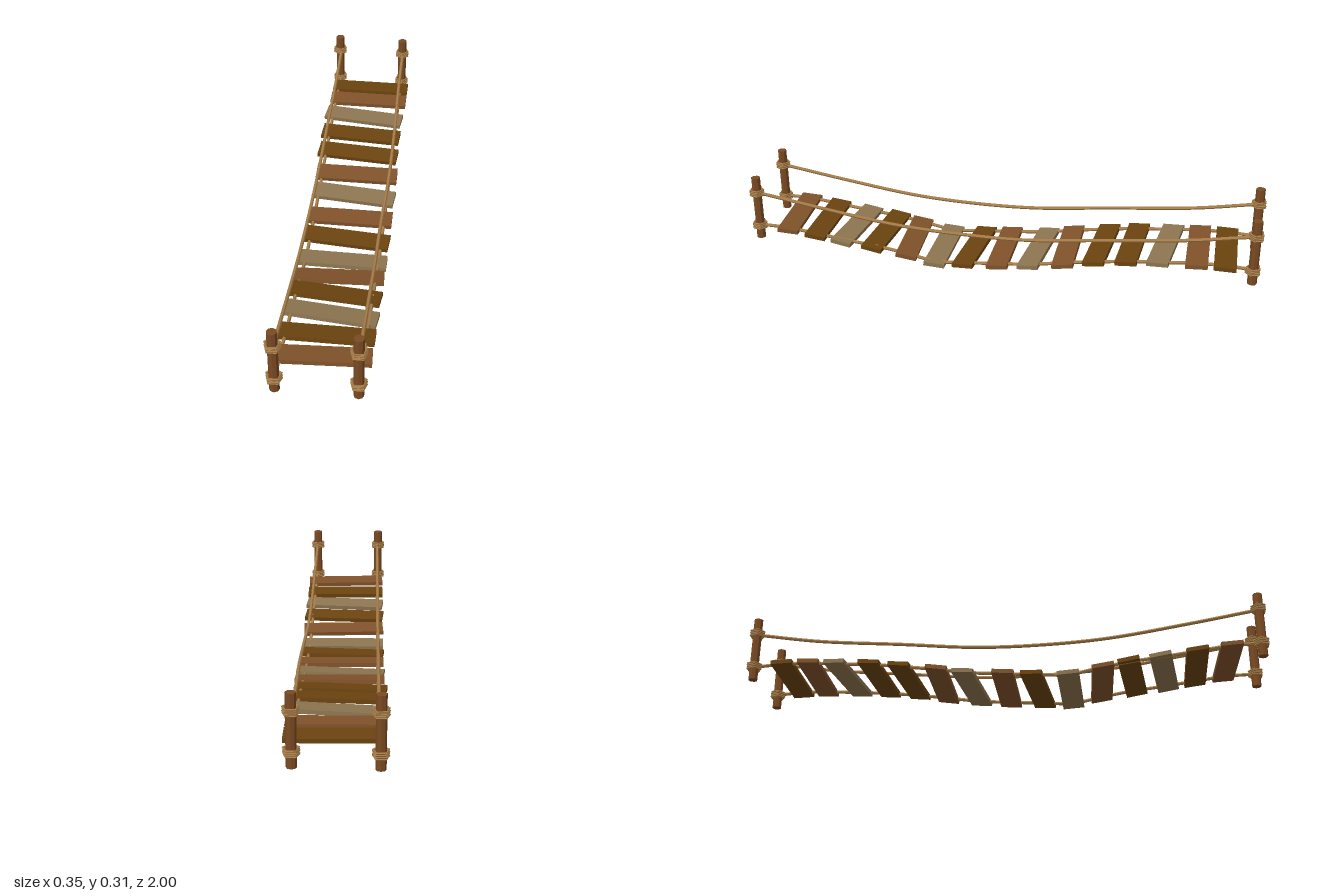
import * as THREE from 'three';

const V = (x, y, z) => new THREE.Vector3(x, y, z);
const mat = (color) => new THREE.MeshStandardMaterial({ color, flatShading: true });

export function createModel() {
  const bridge = new THREE.Group();
  bridge.name = 'ropeBridge';
  const postMat = mat(0x7a4a22), ropeMat = mat(0xa67c48);
  const dark = mat(0x6b430f), brown = mat(0x80522a), tan = mat(0x8c7550);

  const add = (parent, name, geometry, material, x = 0, y = 0, z = 0) => {
    const mesh = new THREE.Mesh(geometry, material);
    mesh.name = name;
    mesh.position.set(x, y, z);
    parent.add(mesh);
    return mesh;
  };

  // Posts, each with two bands of wound rope
  const postGeo = new THREE.CylinderGeometry(0.018, 0.018, 0.258, 8);
  const ringGeo = new THREE.TorusGeometry(0.027, 0.0038, 5, 5).rotateX(Math.PI / 2);
  const corners = [[-0.143, 0.97], [0.138, 0.97], [-0.146, -0.973], [0.138, -0.964]];
  for (const [x, z] of corners) {
    const group = new THREE.Group();
    group.name = (z > 0 ? 'front' : 'back') + (x > 0 ? 'Left' : 'Right') + 'Post';
    group.position.set(x, 0, z);
    add(group, 'post', postGeo, postMat, 0, 0.184, 0);
    for (const level of [0.11, 0.251]) {
      for (let i = 0; i < 4; i++) {
        const ring = add(group, 'ropeWrap', ringGeo, ropeMat, 0, level + (i - 1.5) * 0.007, 0);
        ring.rotation.y = Math.PI / 2 * Math.sign(z) + (i % 2) * 0.08;
      }
    }
    bridge.add(group);
  }

  // Planks: z, y, yaw in degrees, material
  const planks = [
    [-0.862, 0.119, 0, dark], [-0.757, 0.118, 0, brown], [-0.632, 0.108, 7, tan],
    [-0.505, 0.099, 4, dark], [-0.385, 0.084, 5, dark], [-0.255, 0.066, 0, brown],
    [-0.137, 0.047, 6, tan], [0, 0.035, 0, brown], [0.122, 0.026, 5, dark],
    [0.248, 0.019, 0.5, tan], [0.37, 0.042, -3, brown], [0.488, 0.061, 5, dark],
    [0.61, 0.075, 6, tan], [0.732, 0.091, 0, dark], [0.852, 0.106, -3, brown],
  ];
  const path = [[-0.965, 0.113], ...planks, [0.97, 0.11]];
  const plankGeo = new THREE.BoxGeometry(0.335, 0.016, 0.083);
  planks.forEach(([z, y, yaw, material], i) => {
    const before = path[i], after = path[i + 2];
    const slope = (after[1] - before[1]) / (after[0] - before[0]);
    const x = z < -0.3 && yaw > 0 ? -0.004 : 0.004;
    const plank = add(bridge, 'plank', plankGeo, material, x, y, z);
    plank.rotation.set(-Math.atan(slope), -yaw * Math.PI / 180, -0.006, 'YXZ');
  });

  // Sagging ropes: one through the planks and one handrail on each side
  const rope = (name, points) => {
    const curve = new THREE.CatmullRomCurve3(points, false, 'centripetal');
    add(bridge, name, new THREE.TubeGeometry(curve, 48, 0.0065, 6, false), ropeMat);
  };
  const rail = [[-0.965, 0.25], [-0.72, 0.21], [-0.4, 0.18], [-0.1, 0.151],
    [0.15, 0.148], [0.4, 0.162], [0.7, 0.205], [0.97, 0.25]];
  for (const side of [-1, 1]) {
    const label = side > 0 ? 'left' : 'right';
    rope(label + 'DeckRope', path.map(([z, y]) => V(side * 0.14, y, z)));
    rope(label + 'Handrail', rail.map(([z, y], i) =>
      V(side * 0.14 + (side > 0 && (i === 2 || i === 3) ? 0.006 : 0), y, z)));
  }
  return bridge;
}
